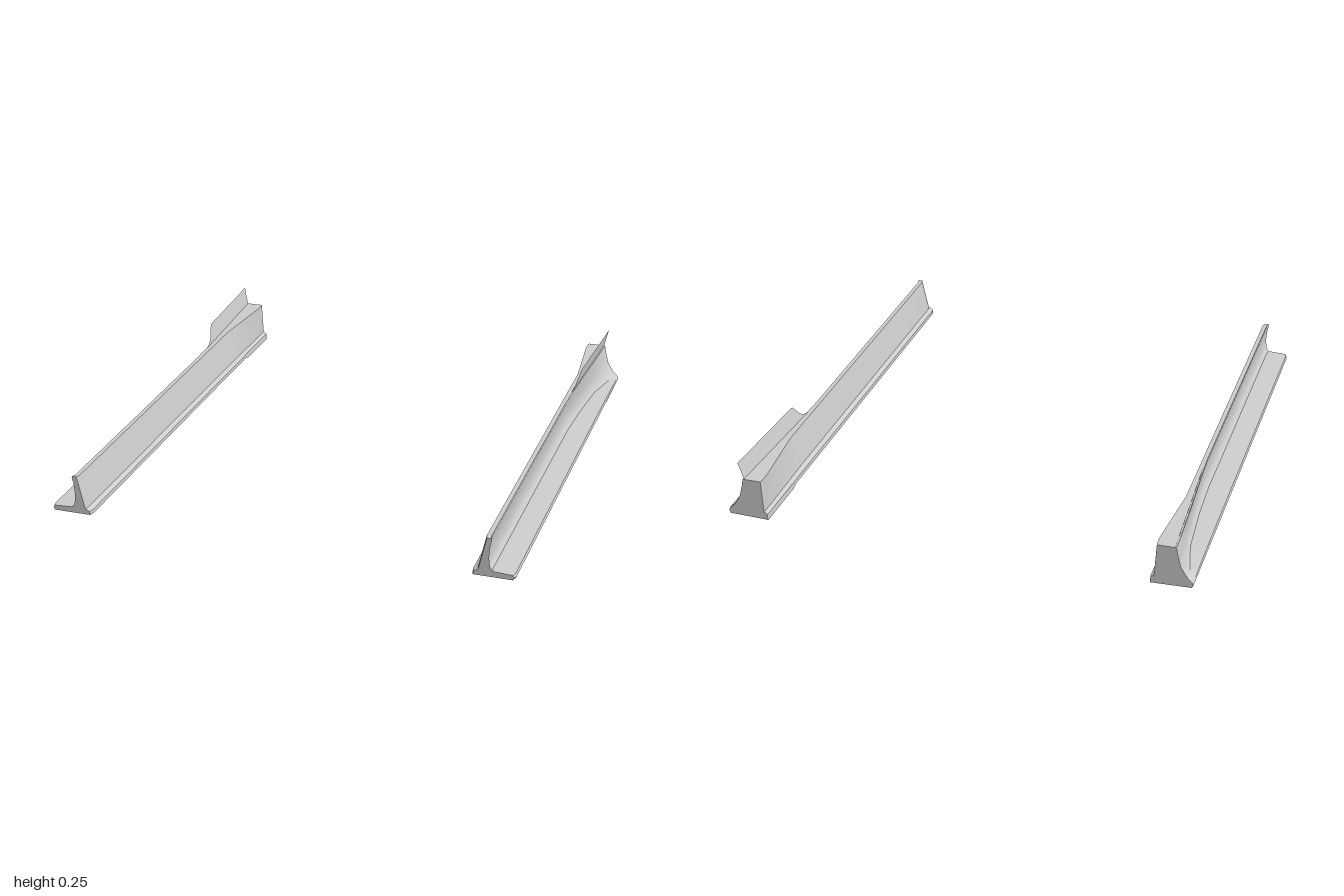
import * as THREE from 'three';
import { toCreasedNormals } from 'three/addons/utils/BufferGeometryUtils.js';

// Cross-sections of the +x skirt, counter-clockwise seen from the front:
// foot edge, outer wall upward, top, inner wall downward.
const FRONT = [[.94, .01], [.945, .02], [.94, .03], [.852, .034], [.84, .048], [.835, .09],
  [.839, .14], [.845, .163], [.843, .17], [.825, .17], [.795, .035], [.777, .025], [.775, .01]];
const REAR = [[.94, .005], [.945, .02], [.942, .026], [.936, .032], [.92, .048], [.895, .09],
  [.882, .14], [.878, .163], [.876, .17], [.797, .17], [.79, .035], [.777, .025], [.775, 0]];

// Piecewise linear value from [z, value] keys, z falling
function keyed(keys, z) {
  if (z >= keys[0][0]) return keys[0][1];
  for (let i = 1; i < keys.length; i++) {
    const [z0, v0] = keys[i - 1], [z1, v1] = keys[i];
    if (z >= z1) return v0 + (v1 - v0) * (z - z0) / (z1 - z0);
  }
  return keys[keys.length - 1][1];
}
const TOP_FLARE = [[-.3, 0], [-.4, .1], [-.65, .5], [-1, 1]];
const BASE_FLARE = [[-.3, 0], [-.5, .08], [-.75, .3], [-.9, .68], [-.98, 1]];
const INNER_TWIST = [[-.62, 0], [-.93, 1]];
const PAD_DROP = [[-.7, 0], [-.74, 1]];

// Section at z, blended from the thin blade to the wide rear end
function section(z) {
  const top = keyed(TOP_FLARE, z), base = keyed(BASE_FLARE, z);
  const inner = keyed(INNER_TWIST, z), pad = keyed(PAD_DROP, z);
  const inset = Math.max(0, Math.abs(z) - .985) * .4;
  return FRONT.map(([x, y], j) => {
    let t = base + (top - base) * Math.min(1, Math.max(0, (y - .03) / .14));
    if (j === 0 || j === 12) t = pad;
    else if (j >= 9) t = inner;
    const px = x + (REAR[j][0] - x) * t;
    return [px + Math.sign(.86 - px) * inset, y + (REAR[j][1] - y) * t];
  });
}

// Closed loft along z; side is +1 or -1
function skirtGeometry(side) {
  const zs = [-.99, -.98, -.95, -.93, -.9, -.85, -.8, -.75, -.74, -.7, -.65, -.62, -.55, -.5,
    -.45, -.4, -.35, -.3, 0, .5, .98, 1];
  const pos = [], index = [], n = FRONT.length;
  const tri = (a, b, c) => (side > 0 ? index.push(a, b, c) : index.push(a, c, b));
  zs.forEach((z) => section(z).forEach(([x, y]) => pos.push(x * side, y, z)));
  for (let i = 0; i < zs.length - 1; i++) {
    for (let j = 0; j < n; j++) {
      const a = i * n + j, b = i * n + (j + 1) % n;
      tri(a, b, a + n);
      tri(b, b + n, a + n);
    }
  }
  // End caps
  [0, zs.length - 1].forEach((row) => {
    const outline = section(zs[row]).map(([x, y]) => new THREE.Vector2(x, y));
    THREE.ShapeUtils.triangulateShape(outline, []).forEach(([a, b, c]) => {
      const o = row * n;
      if (row) tri(o + a, o + b, o + c);
      else tri(o + a, o + c, o + b);
    });
  });
  const geo = new THREE.BufferGeometry();
  geo.setAttribute('position', new THREE.Float32BufferAttribute(pos, 3));
  geo.setIndex(index);
  return toCreasedNormals(geo, .6);
}

// Thin upright fin, leaning outward and following the flare of the top
function finGeometry(side) {
  const shape = new THREE.Shape();
  shape.moveTo(-.4, .17);
  shape.quadraticCurveTo(-.445, .178, -.465, .2);
  shape.lineTo(-.495, .235);
  shape.quadraticCurveTo(-.503, .245, -.52, .245);
  shape.lineTo(-1, .245);
  shape.quadraticCurveTo(-.99, .22, -.99, .165);
  const geo = new THREE.ShapeGeometry(shape, 5);
  const p = geo.attributes.position;
  for (let i = 0; i < p.count; i++) {
    const z = p.getX(i), y = p.getY(i);
    const x = .843 + (-.4 - z) * .045 + (y - .17) * .23;
    p.setXYZ(i, x * side, y, z);
  }
  geo.computeVertexNormals();
  return geo;
}

export function createModel() {
  const model = new THREE.Group();
  model.name = 'sideSkirts';
  const solid = new THREE.MeshStandardMaterial({ color: 0xcccccc });
  const sheet = new THREE.MeshStandardMaterial({ color: 0xcccccc, side: THREE.DoubleSide });
  [['left', 1], ['right', -1]].forEach(([label, side]) => {
    const group = new THREE.Group();
    group.name = label + 'Skirt';
    const body = new THREE.Mesh(skirtGeometry(side), solid);
    body.name = label + 'SkirtBody';
    const fin = new THREE.Mesh(finGeometry(side), sheet);
    fin.name = label + 'RearFin';
    group.add(body, fin);
    model.add(group);
  });
  return model;
}
